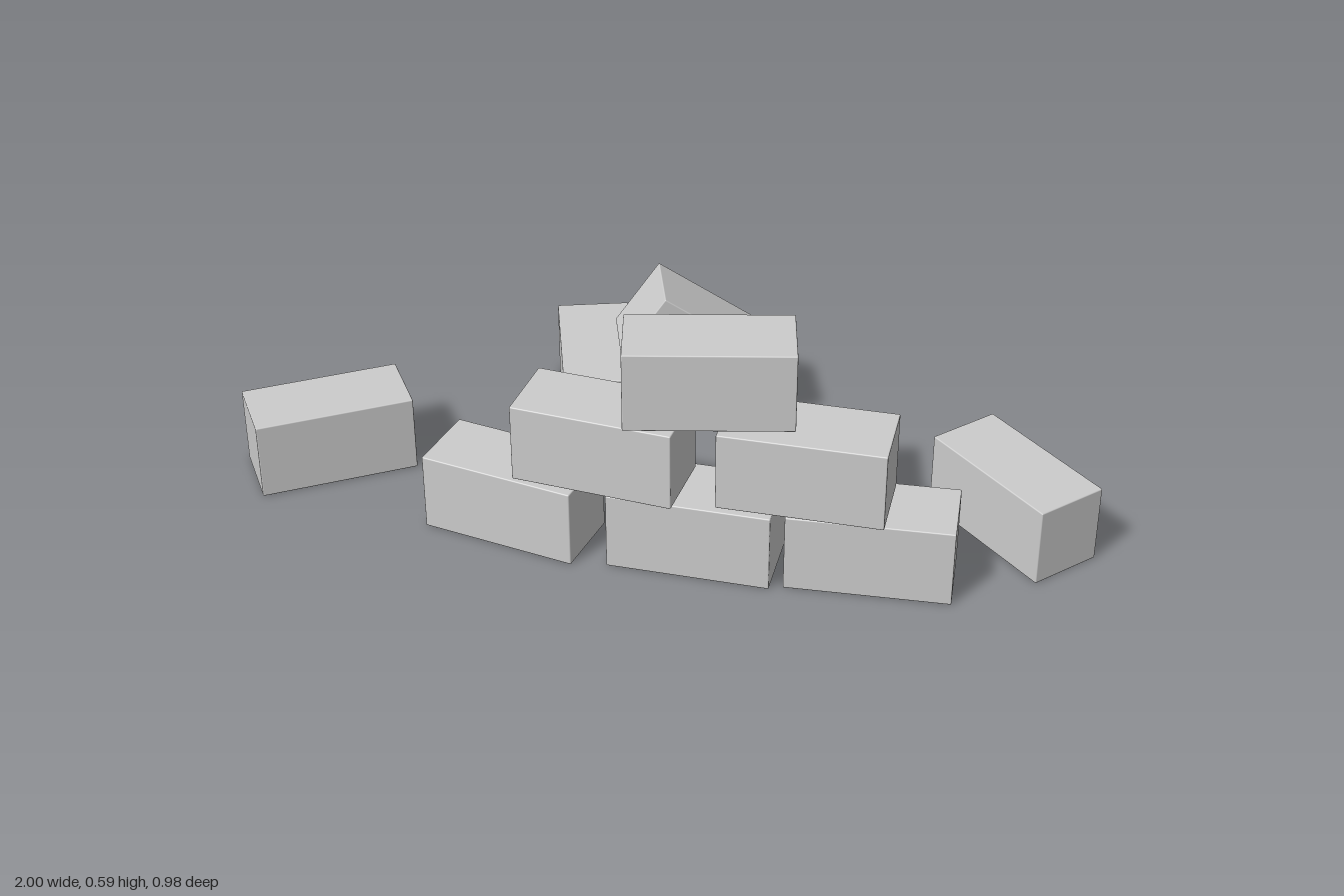
import * as THREE from 'three';
import { RoundedBoxGeometry } from 'three/addons/geometries/RoundedBoxGeometry.js';

const LENGTH = 0.38, HEIGHT = 0.192, WIDTH = 0.18, STEP = 0.2005;

export function createModel() {
  const group = new THREE.Group();
  const material = new THREE.MeshStandardMaterial({ color: 0xcccccc });
  // one brick with slightly softened edges, shared by all
  const geometry = new RoundedBoxGeometry(LENGTH, HEIGHT, WIDTH, 2, 0.003);

  // angles in degrees: turn about y, tilt along the length, roll about it
  function brick(name, x, y, z, turn, tilt = 0, roll = 0) {
    const mesh = new THREE.Mesh(geometry, material);
    mesh.name = name;
    mesh.position.set(x, y, z);
    const rad = THREE.MathUtils.degToRad;
    mesh.rotation.set(rad(roll), rad(turn), rad(tilt), 'YZX');
    group.add(mesh);
  }

  // curved stacked wall, listed course by course: [x, z, turn]
  const courses = [
    [[-0.272, 0.332, 0.8], [0.163, 0.262, 11.2], [0.553, 0.157, 15.3]],
    [[-0.044, 0.313, 6.3], [0.409, 0.207, 11.8]],
    [[0.19, 0.255, 24.3]],
  ];
  courses.forEach((course, row) => course.forEach(([x, z, turn], i) =>
    brick(`wallBrickRow${row + 1}_${i + 1}`, x, HEIGHT / 2 + row * STEP, z, turn)));

  // loose bricks lying on the ground
  brick('looseBrickRight', -0.803, HEIGHT / 2, 0.29, 44.8);
  brick('looseBrickLeft', 0.791, HEIGHT / 2, -0.138, -31.2);
  brick('looseBrickBack', -0.329, HEIGHT / 2, -0.212, -60.2);

  // fallen brick leaning on the back one
  brick('leaningBrick', -0.082, 0.195, -0.308, 31.5, -35, 1.7);

  return group;
}
